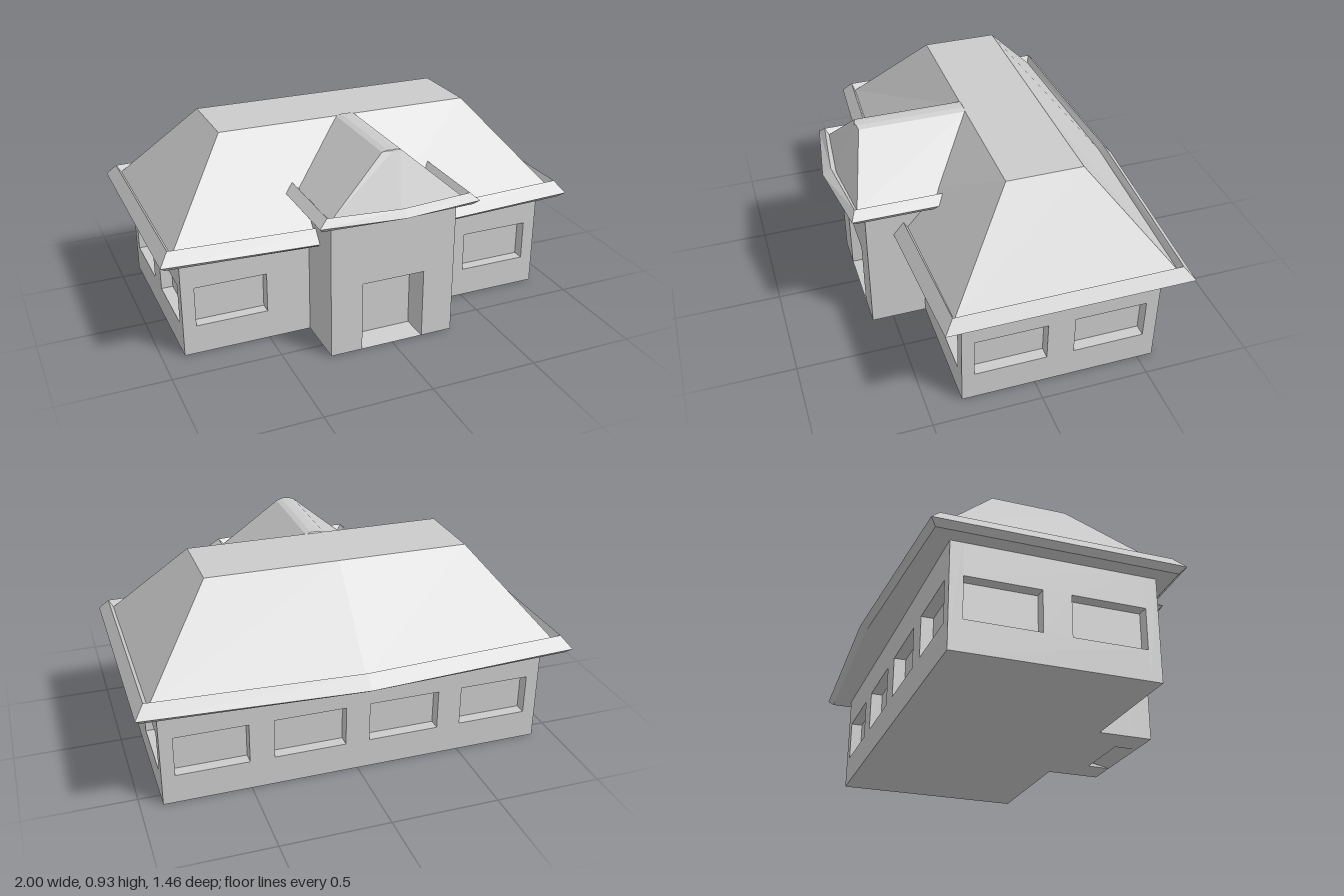
import * as THREE from 'three';

const material = new THREE.MeshStandardMaterial({ color: 0xcccccc, flatShading: true });
const thin = new THREE.MeshStandardMaterial({ color: 0xcccccc, flatShading: true, side: THREE.DoubleSide });

function add(parent, name, geometry, mat = material) {
  const mesh = new THREE.Mesh(geometry, mat);
  mesh.name = name;
  parent.add(mesh);
  return mesh;
}

function box(x0, x1, y0, y1, z0, z1) {
  return new THREE.BoxGeometry(x1 - x0, y1 - y0, z1 - z0)
    .translate((x0 + x1) / 2, (y0 + y1) / 2, (z0 + z1) / 2);
}

// Joins closed loops of points with flat faces, lowest loop first
function loft(loops, capped = true) {
  const out = [];
  const tri = (...pts) => pts.forEach((p) => out.push(...p));
  const n = loops[0].length;
  for (let r = 0; r < loops.length - 1; r++) {
    for (let i = 0; i < n; i++) {
      const j = (i + 1) % n;
      const [a, b, c, d] = [loops[r][i], loops[r][j], loops[r + 1][j], loops[r + 1][i]];
      tri(a, b, c);
      tri(a, c, d);
    }
  }
  if (capped) {
    const low = loops[0], top = loops[loops.length - 1];
    for (let i = 1; i < n - 1; i++) {
      tri(low[0], low[i + 1], low[i]);
      tri(top[0], top[i], top[i + 1]);
    }
  }
  const g = new THREE.BufferGeometry();
  g.setAttribute('position', new THREE.Float32BufferAttribute(out, 3));
  g.computeVertexNormals();
  return g;
}

// Eave loop: half width, front z at corner and middle, back z at corner and middle, y at corner and middle
function eaveLoop([x, fc, fm, bc, bm, yc, ym = yc]) {
  return [[-x, yc, fc], [0, ym, fm], [x, yc, fc], [x, yc, bc], [0, ym, bm], [-x, yc, bc]];
}

// Wall panel facing +z, its outer face on z = 0, with window openings centred on the given x
const DEPTH = 0.055;
function windowWall(x0, x1, height, centres) {
  const shape = new THREE.Shape([[x0, 0], [x1, 0], [x1, height], [x0, height]]
    .map(([x, y]) => new THREE.Vector2(x, y)));
  for (const c of centres) {
    shape.holes.push(new THREE.Path([[-0.167, 0.14], [-0.167, 0.33], [0.167, 0.33], [0.167, 0.14]]
      .map(([x, y]) => new THREE.Vector2(c + x, y))));
  }
  return new THREE.ExtrudeGeometry(shape, { depth: DEPTH, bevelEnabled: false }).translate(0, 0, -DEPTH);
}

export function createModel() {
  const model = new THREE.Group();
  model.name = 'house';

  // Main block: a core with window walls around it
  const W = 0.9, F = 0.34, B = -0.573, H = 0.5;
  const house = new THREE.Group();
  house.name = 'mainBlock';
  model.add(house);
  add(house, 'core', box(-W + DEPTH, W - DEPTH, 0, H, B + DEPTH, F - DEPTH));
  add(house, 'frontWall', windowWall(-W, W, H, [-0.672, 0.672])).position.z = F;
  const back = add(house, 'backWall', windowWall(-W, W, H, [-0.672, -0.224, 0.224, 0.672]));
  back.rotation.y = Math.PI;
  back.position.z = B;
  for (const s of [-1, 1]) {
    const centres = [0.115, -0.346].map((z) => -s * z);
    const ends = [-s * (F - DEPTH), -s * (B + DEPTH)].sort((a, b) => a - b);
    const side = add(house, s > 0 ? 'leftWall' : 'rightWall', windowWall(ends[0], ends[1], H, centres));
    side.rotation.y = s * Math.PI / 2;
    side.position.x = s * W;
  }

  // Main hipped roof with bowed eaves and a gutter
  add(model, 'mainRoof', loft([
    [0.973, 0.41, 0.46, -0.655, -0.70, 0.48, 0.475],
    [1, 0.437, 0.49, -0.68, -0.73, 0.505, 0.495],
    [0.957, 0.393, 0.44, -0.634, -0.68, 0.56, 0.555],
    [0.936, 0.38, 0.42, -0.62, -0.66, 0.527],
    [0.612, 0.055, 0.055, -0.295, -0.295, 0.922],
  ].map(eaveLoop)));

  // Entrance block with a door opening in its front wall
  const porch = new THREE.Group();
  porch.name = 'entrance';
  model.add(porch);
  const P = 0.6, D = 0.11, top = 0.675;
  add(porch, 'entranceCore', box(-0.3, 0.3, 0, top, 0.2, P - D));
  const front = new THREE.Shape([
    [-0.3, 0], [-0.15, 0], [-0.15, 0.333], [0.15, 0.333], [0.15, 0], [0.3, 0], [0.3, top], [-0.3, top],
  ].map(([x, y]) => new THREE.Vector2(x, y)));
  add(porch, 'entranceWall', new THREE.ExtrudeGeometry(front, { depth: D, bevelEnabled: false })
    .translate(0, 0, P - D));

  // Tapered door reveal
  const doorLoop = (x, y0, y1, z) => [[-x, y0, z], [x, y0, z], [x, y1, z], [-x, y1, z]];
  add(porch, 'doorReveal', loft([
    doorLoop(0.135, 0.016, 0.318, P - D),
    doorLoop(0.15, 0, 0.333, P),
  ], false), thin);

  // Entrance roof running back into the main roof
  add(porch, 'entranceRoof', loft([
    [0.36, 0.645, 0.69, 0.22, 0.22, 0.648, 0.662],
    [0.378, 0.67, 0.725, 0.22, 0.22, 0.672, 0.68],
    [0.337, 0.648, 0.685, 0.2, 0.2, 0.708],
    [0.315, 0.633, 0.662, 0.2, 0.2, 0.683],
    [0.045, 0.55, 0.56, 0.05, 0.05, 0.92],
    [0.02, 0.555, 0.56, 0.055, 0.055, 0.928],
  ].map(eaveLoop)));

  return model;
}
